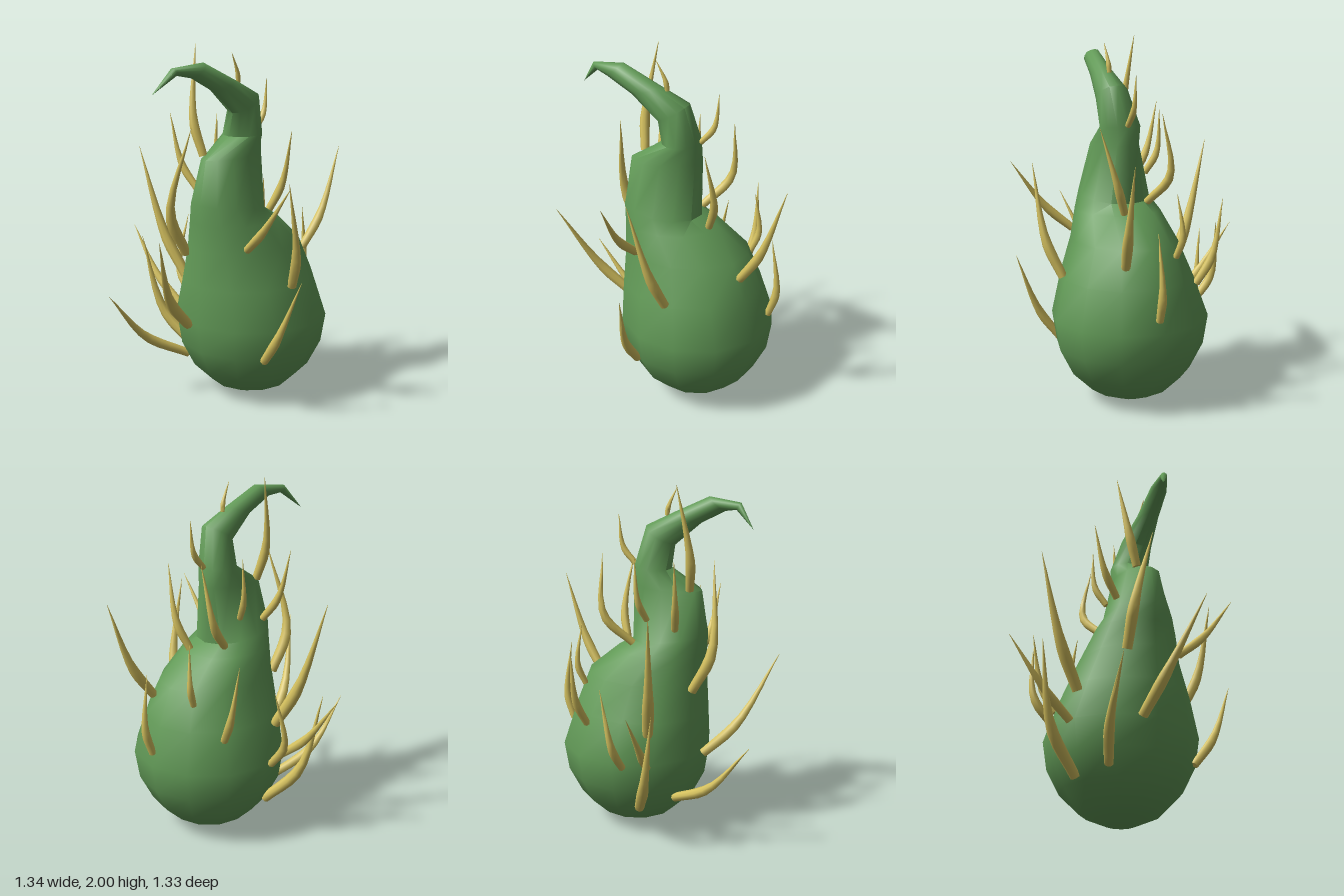
import * as THREE from 'three';
import { toCreasedNormals } from 'three/addons/utils/BufferGeometryUtils.js';

const V = (x, y, z) => new THREE.Vector3(x, y, z);
const lerp = THREE.MathUtils.lerp;

// Skin a list of equally sized rings of points and close both ends.
function loft(rings, crease) {
  const n = rings[0].length, pos = [], index = [];
  rings.forEach(r => r.forEach(p => pos.push(p.x, p.y, p.z)));
  const centre = r => {
    const c = V(0, 0, 0);
    r.forEach(p => c.addScaledVector(p, 1 / n));
    pos.push(c.x, c.y, c.z);
    return pos.length / 3 - 1;
  };
  const last = (rings.length - 1) * n;
  const c0 = centre(rings[0]), c1 = centre(rings[rings.length - 1]);
  for (let j = 0; j < n; j++) {
    const k = (j + 1) % n;
    for (let i = 0; i < last; i += n) {
      index.push(i + j, i + n + j, i + k, i + n + j, i + n + k, i + k);
    }
    index.push(c0, j, k, c1, last + k, last + j);
  }
  const g = new THREE.BufferGeometry();
  g.setAttribute('position', new THREE.Float32BufferAttribute(pos, 3));
  g.setIndex(index);
  return toCreasedNormals(g, crease);
}

// Body sections, each spanning a left point, a right point and a z range.
function bodySections() {
  const sections = [];
  // Round lower half of the bulb
  for (let i = 0; i < 5; i++) {
    const a = lerp(0.2, Math.PI / 2, i / 4);
    const r = 0.437 * Math.sin(a), y = 0.48 * (1 - Math.cos(a) / Math.cos(0.2));
    sections.push([0.14 - r, y, 0.14 + r, y, 0.1 - r, 0.1 + r]);
  }
  // Upper bulb, shoulder, neck and hook: xl, yl, xr, yr, z0, z1
  sections.push(
    [-0.29, 0.7, 0.51, 0.7, -0.26, 0.47],
    [-0.28, 0.9, 0.43, 0.9, -0.18, 0.39],
    [-0.275, 1.05, 0.25, 1.05, -0.13, 0.34],
    [-0.28, 1.16, 0.16, 1.1, -0.09, 0.3],
    [-0.24, 1.4, 0.165, 1.42, -0.01, 0.23],
    [-0.06, 1.51, 0.155, 1.52, 0, 0.225],
    [-0.07, 1.64, 0.1, 1.74, 0.06, 0.235],
    [-0.22, 1.77, -0.06, 1.82, 0.085, 0.2],
    [-0.36, 1.845, -0.27, 1.92, 0.08, 0.17],
    [-0.43, 1.86, -0.455, 1.9, 0.065, 0.11],
    [-0.541, 1.768, -0.539, 1.77, 0.025, 0.03],
  );
  return sections;
}

// Point on a section at an angle that turns from +x towards +z.
function sectionPoint([xl, yl, xr, yr, z0, z1], a) {
  const c = 0.5 + Math.cos(a) / 2, s = 0.5 + Math.sin(a) / 2;
  return V(lerp(xl, xr, c), lerp(yl, yr, c), lerp(z0, z1, s));
}

// Point on the body surface at a height and angle.
function surfacePoint(sections, y, a) {
  const mean = s => (s[1] + s[3]) / 2;
  const i = sections.findIndex(s => mean(s) >= y);
  const low = sections[i - 1], high = sections[i];
  const t = (y - mean(low)) / (mean(high) - mean(low));
  return sectionPoint(low, a).lerp(sectionPoint(high, a), t);
}

// Thorn that bows outward from its root, then tapers to a point.
function thornGeometry(base, tip, a, bow) {
  const mid = base.clone().lerp(tip, 0.33).add(V(Math.cos(a), 0, Math.sin(a)).multiplyScalar(bow));
  const curve = new THREE.CatmullRomCurve3([base, mid, tip]);
  const radius = 0.008 + 0.032 * base.distanceTo(tip);
  const side = tip.clone().sub(base).cross(V(0.31, 0.12, 0.94)).normalize();
  const rings = [], steps = 9, sides = 8;
  for (let i = 0; i <= steps; i++) {
    const t = i / steps, p = curve.getPoint(t), T = curve.getTangent(t);
    const u = side.clone().addScaledVector(T, -side.dot(T)).normalize();
    const v = u.clone().cross(T);
    const r = radius * (t < 0.4 ? 0.85 + 0.4 * t : 1.01 * (1 - t) / 0.6) + 0.0008;
    const ring = [];
    for (let j = 0; j < sides; j++) {
      const b = j / sides * Math.PI * 2;
      ring.push(p.clone().addScaledVector(u, r * Math.cos(b)).addScaledVector(v, r * Math.sin(b)));
    }
    rings.push(ring);
  }
  return loft(rings, 1);
}

export function createModel() {
  const model = new THREE.Group();
  const green = new THREE.MeshStandardMaterial({ color: 0x629a57 });
  const yellow = new THREE.MeshStandardMaterial({ color: 0xd6c25f });

  // Bulbous body rising into a neck and a hooked tip
  const sections = bodySections();
  const rings = sections.map(s => Array.from({ length: 12 }, (_, j) => sectionPoint(s, j * Math.PI / 6)));
  const body = new THREE.Mesh(loft(rings, 0.95), green);
  body.name = 'body';
  model.add(body);

  // Thorns: root height, root angle in degrees, tip x, y, z, optional bow
  const thorns = new THREE.Group();
  thorns.name = 'thorns';
  [
    // right side
    [0.47, 191, -0.67, 1.05, 0.2, 0.06],
    [0.23, 216, -0.62, 0.65, -0.26, 0.1],
    [0.86, 210, -0.315, 1.58, 0.08, 0.1],
    [1.2, 248, -0.18, 1.62, -0.22],
    [1.42, 215, -0.14, 2, -0.06],
    // front
    [0.93, 127, -0.2, 1.32, 0.66],
    [0.31, 128, -0.11, 0.81, 0.67],
    [0.71, 96, -0.1, 1.32, 0.57],
    // left side
    [0.82, 27, 0.67, 1.39, 0.31],
    [1.07, 15, 0.235, 1.53, 0.31],
    [1.12, -37, 0.3, 1.6, -0.02, 0.11],
    [1.52, 0, 0.25, 1.8, 0.11],
    [0.84, -31, 0.42, 1.19, -0.05],
    [0.55, 2, 0.565, 1.02, 0.13],
    // back
    [0.66, -58, 0.36, 1.13, -0.36],
    [0.47, -98, 0.165, 0.95, -0.43, 0.08],
    [0.47, -116, -0.07, 0.89, -0.66],
    [0.65, -113, -0.14, 1.39, -0.52],
    [0.19, -111, -0.15, 0.86, -0.5, 0.1],
    [1.25, -67, 0.08, 1.6, -0.11],
    // hook
    [1.77, 0, -0.08, 1.96, 0.15, 0.01],
  ].forEach(([y, degrees, tx, ty, tz, bow = 0.04]) => {
    const a = THREE.MathUtils.degToRad(degrees);
    const thorn = new THREE.Mesh(thornGeometry(surfacePoint(sections, y, a), V(tx, ty, tz), a, bow), yellow);
    thorn.name = 'thorn';
    thorns.add(thorn);
  });
  model.add(thorns);
  return model;
}
